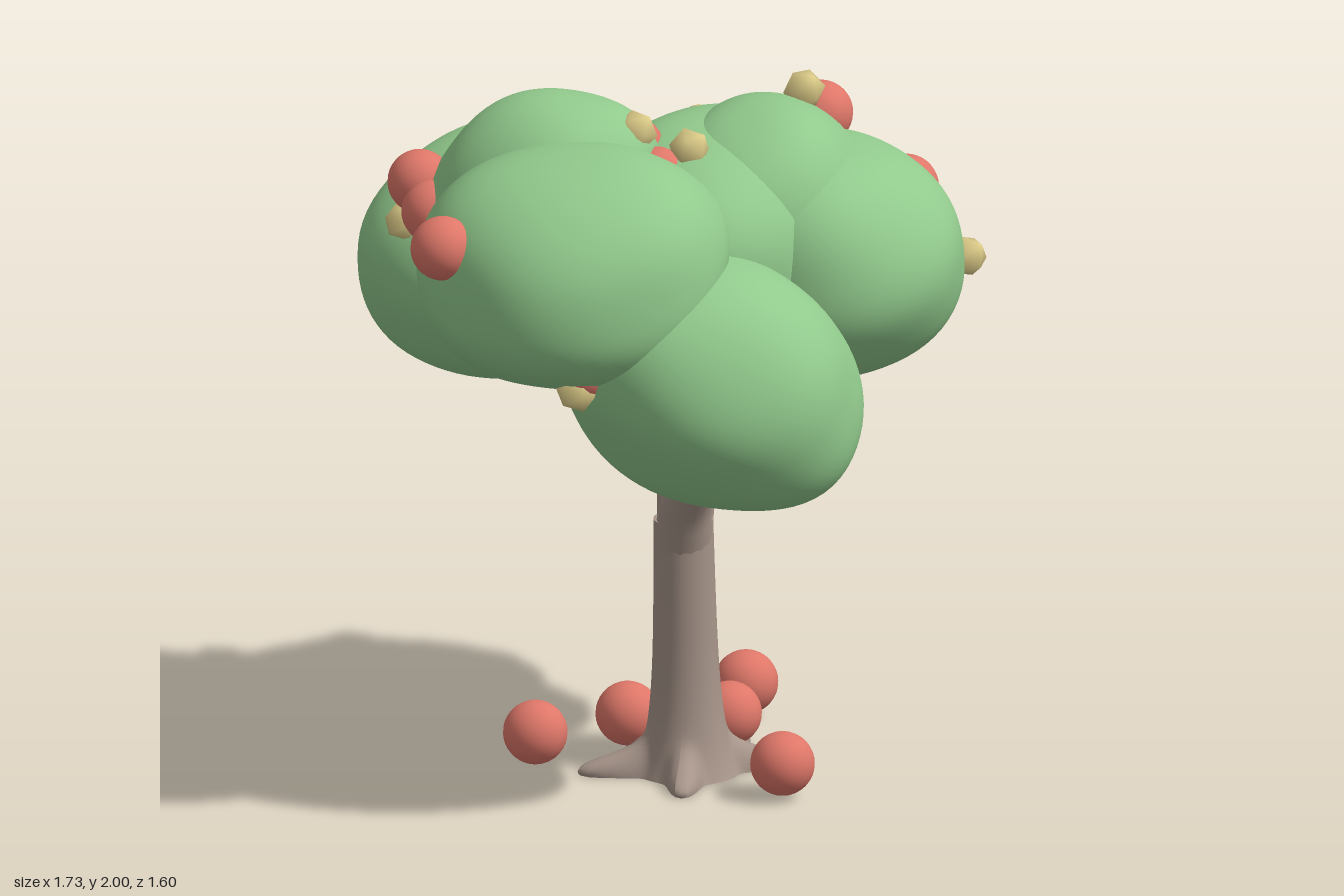
import * as THREE from 'three';
import { mergeVertices } from 'three/addons/utils/BufferGeometryUtils.js';

const material = (name, color) =>
  Object.assign(new THREE.MeshStandardMaterial({ color }), { name });

const leafGreen = material('leaf green', 0x91c98c);
const barkBrown = material('bark brown', 0xa69489);
const fruitRed = material('fruit red', 0xde7769);
const budGold = material('bud gold', 0xdccb88);

// Icosahedron with shared corners, so that it shades smoothly
function smoothBall(radius, detail) {
  const geo = new THREE.IcosahedronGeometry(radius, detail);
  geo.deleteAttribute('normal');
  geo.deleteAttribute('uv');
  const merged = mergeVertices(geo, 1e-4);
  merged.computeVertexNormals();
  return merged;
}

// Lumpy rounded leaf cluster: a ball with gentle waves.
// lean = [top towards x, top towards z, front towards x]
function leafCluster(center, radii, lean, seed) {
  const geo = smoothBall(1, 14);
  const pos = geo.attributes.position;
  const p = new THREE.Vector3();
  for (let i = 0; i < pos.count; i++) {
    p.fromBufferAttribute(pos, i);
    const e = 2.1;
    const norm = (Math.abs(p.x) ** e + Math.abs(p.y) ** e + Math.abs(p.z) ** e) ** (1 / e);
    const wave = Math.sin(3.1 * p.x + seed * 1.7) * Math.sin(3.4 * p.y + seed * 2.3)
      + Math.sin(3.7 * p.z + seed * 0.9) * Math.sin(4.3 * p.x - seed)
      + 0.5 * Math.sin(6.1 * p.y + 5 * p.z + seed);
    p.multiplyScalar((1.005 + 0.022 * wave) / norm);
    pos.setXYZ(i,
      p.x * radii[0] + p.y * lean[0] + p.z * lean[2],
      p.y * radii[1],
      p.z * radii[2] + p.y * lean[1]);
  }
  geo.computeVertexNormals();
  const mesh = new THREE.Mesh(geo, leafGreen);
  mesh.position.set(...center);
  return mesh;
}

// Tube along a smooth path whose radius changes from r0 to r1
function taperedTube(points, r0, r1) {
  const curve = new THREE.CatmullRomCurve3(points.map(q => new THREE.Vector3(...q)));
  const steps = 14, sides = 16;
  const geo = new THREE.TubeGeometry(curve, steps, 1, sides);
  const pos = geo.attributes.position;
  const p = new THREE.Vector3();
  for (let i = 0; i < pos.count; i++) {
    const t = Math.floor(i / (sides + 1)) / steps;
    const c = curve.getPointAt(t);
    p.fromBufferAttribute(pos, i).sub(c).multiplyScalar(r0 + (r1 - r0) * t).add(c);
    pos.setXYZ(i, p.x, p.y, p.z);
  }
  geo.computeVertexNormals();
  return new THREE.Mesh(geo, barkBrown);
}

// Trunk that flares into five roots at the ground
function trunkMesh() {
  const height = 0.74;
  const roots = [[-67, 0.18], [-18, 0.16], [86, 0.13], [163, 0.17], [225, 0.13]];
  const geo = new THREE.CylinderGeometry(1, 1, 1, 90, 36);
  const pos = geo.attributes.position;
  for (let i = 0; i < pos.count; i++) {
    const x = pos.getX(i), z = pos.getZ(i);
    const t = pos.getY(i) + 0.5;
    const y = height * t ** 2;
    const angle = Math.atan2(z, x);
    let r = 0.083 + 0.009 * (1 - y / height) + 0.055 * Math.exp(-y / 0.13);
    for (const [deg, len] of roots) {
      const d = angle - THREE.MathUtils.degToRad(deg);
      const a = Math.atan2(Math.sin(d), Math.cos(d));
      r += len * Math.exp(-((a / 0.23) ** 2)) * Math.exp(-(((y - 0.015) / 0.052) ** 2));
    }
    r *= Math.min(1, Math.hypot(x, z));
    const cx = 0.065 - 0.01 * t, cz = -0.055 + 0.025 * t ** 4;
    pos.setXYZ(i, cx + Math.cos(angle) * r, y, cz + Math.sin(angle) * r);
  }
  geo.computeVertexNormals();
  return new THREE.Mesh(geo, barkBrown);
}

export function createModel() {
  const model = new THREE.Group();
  model.name = 'fruitTree';
  const add = (mesh, name, parent = model) => {
    mesh.name = name;
    parent.add(mesh);
    return mesh;
  };

  // Trunk, fork and branches; the front branch carries on from the trunk
  add(trunkMesh(), 'trunk');
  add(taperedTube([[0.055, 0.71, -0.06], [0.06, 0.85, -0.065], [0.065, 1.0, -0.075]], 0.078, 0.09), 'fork');
  add(taperedTube([[0.055, 0.68, -0.03], [0.07, 0.79, 0.02], [0.13, 0.95, 0.14], [0.17, 1.1, 0.26]], 0.083, 0.034), 'frontBranch');
  const branches = [
    [[0.04, 0.86, -0.06], [-0.09, 1.02, -0.08], [-0.27, 1.22, -0.12]],
    [[0.07, 0.86, -0.09], [0.12, 1.02, -0.2], [0.22, 1.24, -0.38]],
    [[0.08, 0.86, -0.07], [0.14, 1.02, -0.1], [0.27, 1.25, -0.15]],
    [[0.05, 0.88, -0.06], [0.02, 1.05, -0.02], [-0.1, 1.4, 0.12]],
  ];
  branches.forEach((path, i) => add(taperedTube(path, 0.062, 0.036), `branch${i + 1}`));

  // Crown of overlapping leaf clusters
  const crown = add(new THREE.Group(), 'crown');
  const clusters = [
    ['frontUpperLeaves', [-0.19, 1.6, 0.41], [0.43, 0.33, 0.38], [0.01, -0.06, 0]],
    ['topLeaves', [-0.33, 1.69, 0.09], [0.32, 0.31, 0.29], [0.08, 0, 0]],
    ['rightLeaves', [-0.45, 1.45, -0.2], [0.4, 0.35, 0.39], [0.02, 0, -0.08]],
    ['frontLowerLeaves', [0.185, 1.27, 0.35], [0.41, 0.37, 0.39], [-0.08, 0.03, 0]],
    ['leftLeaves', [0.42, 1.48, -0.17], [0.39, 0.335, 0.385], [0, 0, 0]],
    ['backLeaves', [0.28, 1.445, -0.44], [0.35, 0.32, 0.35], [0.02, 0.04, 0]],
    ['upperLeftLeaves', [0.27, 1.605, -0.15], [0.3, 0.325, 0.35], [0, 0, 0]],
    ['middleLeaves', [0.12, 1.53, -0.12], [0.37, 0.35, 0.48], [0, 0, 0]],
  ];
  clusters.forEach(([name, c, r, lean], i) => add(leafCluster(c, r, lean, i + 1), name, crown));

  // Round fruit, on the crown and on the ground
  const fruitGeo = new THREE.SphereGeometry(0.09, 28, 18);
  const fruitSpots = [
    [0.36, 1.755, -0.61], [0.6, 1.55, -0.61], [-0.28, 1.8, -0.235],
    [-0.67, 1.72, 0.07], [-0.62, 1.66, 0.15], [-0.53, 1.7, 0.615],
    [-0.14, 1.36, 0.6], [-0.085, 1.82, 0], [0, 1.77, 0.115],
    [0.36, 0.1, 0.165], [0.15, 0.1, -0.28], [0.155, 0.1, -0.575],
    [-0.13, 0.1, -0.24], [-0.36, 0.1, -0.03],
  ];
  const fruits = add(new THREE.Group(), 'fruits');
  fruitSpots.forEach((p, i) =>
    add(new THREE.Mesh(fruitGeo, fruitRed), `fruit${i + 1}`, fruits).position.set(...p));

  // Small angular buds
  const budGeo = smoothBall(0.06, 0);
  const budSpots = [
    [0.28, 1.63, -0.74], [0.025, 1.735, -0.525], [-0.23, 1.73, -0.46],
    [-0.745, 1.48, -0.395], [0.815, 1.46, -0.275], [0.36, 1.925, -0.275],
    [-0.36, 1.79, -0.2], [-0.055, 1.91, 0.125], [0.09, 1.855, 0.095],
    [-0.71, 1.61, 0.09], [-0.15, 1.31, 0.645],
  ];
  const buds = add(new THREE.Group(), 'buds');
  budSpots.forEach((p, i) => {
    const bud = add(new THREE.Mesh(budGeo, budGold), `bud${i + 1}`, buds);
    bud.position.set(...p);
    bud.rotation.set(i * 0.7, i * 1.3, 0);
  });

  return model;
}
